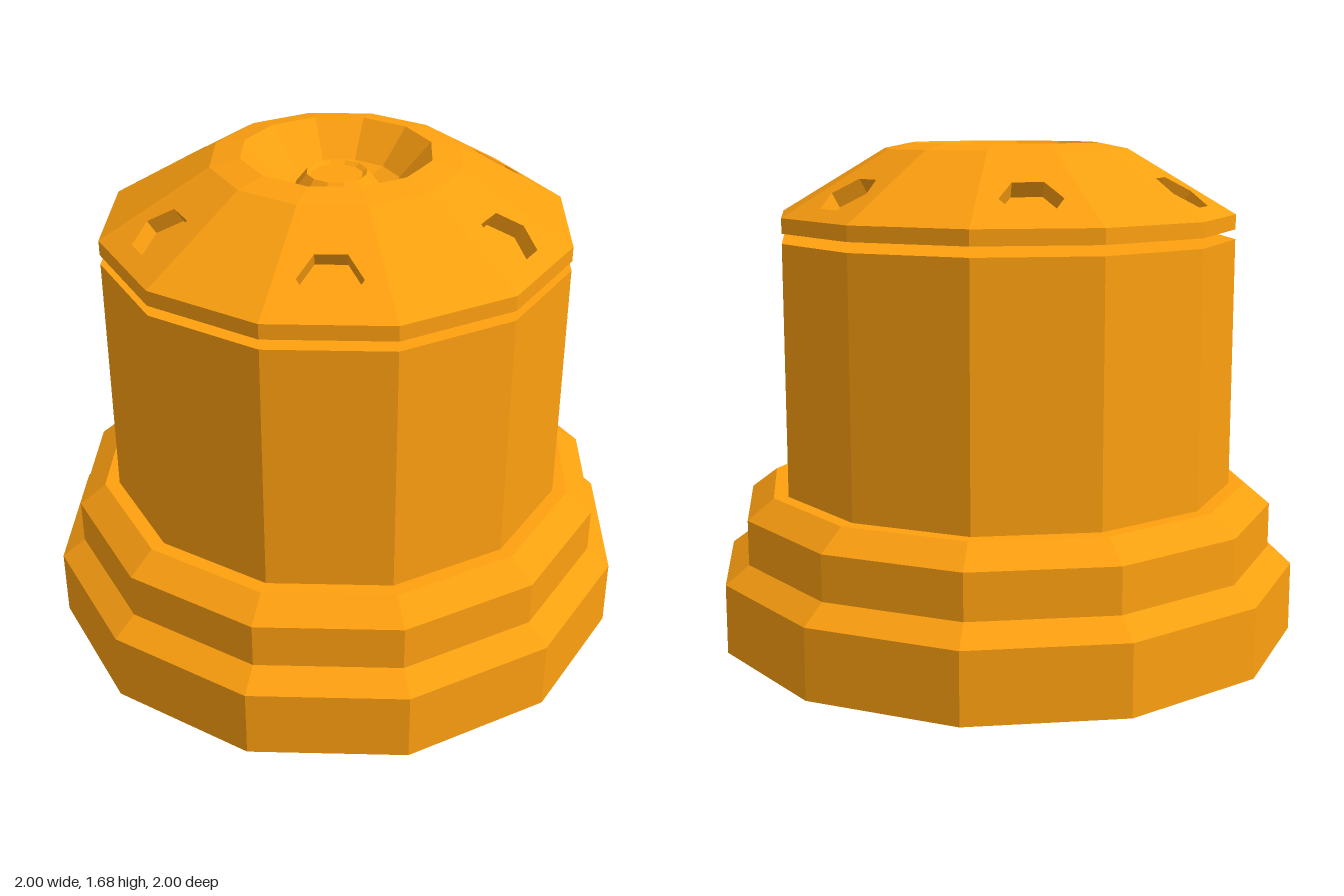
import * as THREE from 'three';

const SIDES = 12;
const material = new THREE.MeshStandardMaterial({ color: 0xffa010, flatShading: true });
const inside = material.clone();
inside.side = THREE.BackSide;

function add(parent, name, geometry, mat = material) {
  const mesh = new THREE.Mesh(geometry, mat);
  mesh.name = name;
  parent.add(mesh);
  return mesh;
}

// Faceted turned part; the profile lists [radius, height] from bottom to top
function turned(parent, name, profile) {
  const points = profile.map(([r, y]) => new THREE.Vector2(r, y));
  return add(parent, name, new THREE.LatheGeometry(points, SIDES));
}

export function createModel() {
  const model = new THREE.Group();
  model.name = 'cappedPost';

  // Stepped, bevelled foot
  turned(model, 'base', [
    [0, 0], [1, 0], [1, 0.235], [0.92, 0.295],
    [0.92, 0.447], [0.83, 0.515], [0, 0.515],
  ]);

  // Main drum and the narrow neck that carries the cap
  turned(model, 'body', [[0.78, 0.515], [0.78, 1.357], [0, 1.357]]);
  turned(model, 'neck', [[0.285, 1.357], [0.285, 1.39]]);

  const cap = new THREE.Group();
  cap.name = 'cap';
  model.add(cap);

  const rOut = 0.78, yOut = 1.44, rIn = 0.415, yIn = 1.657;
  turned(cap, 'capRim', [[0, 1.39], [rOut, 1.39], [rOut, yOut]]);

  // Crown lip, sunken bowl and dished centre button
  turned(cap, 'crownBowl', [
    [rIn, yIn], [0.315, 1.677], [0.21, 1.565], [0.14, 1.54],
    [0.14, 1.555], [0.1, 1.605], [0.085, 1.595], [0, 1.595],
  ]);

  // Sloping roof panels; every second one has a hexagonal pocket
  const half = Math.PI / SIDES;
  const run = (rOut - rIn) * Math.cos(half), rise = yIn - yOut;
  const length = Math.hypot(run, rise);
  const wOut = rOut * Math.sin(half), wIn = rIn * Math.sin(half);
  const holeR = 0.1, holeDepth = 0.055, holeY = length * 0.37;

  for (let i = 0; i < SIDES; i++) {
    const turn = new THREE.Group();
    turn.name = 'roofSection';
    turn.rotation.y = half * (2 * i + 1);
    cap.add(turn);

    const panel = new THREE.Group();
    panel.name = 'roofPanel';
    panel.position.set(0, yOut, rOut * Math.cos(half));
    panel.rotation.x = -Math.atan2(run, rise);
    turn.add(panel);

    const shape = new THREE.Shape([
      new THREE.Vector2(-wOut, 0), new THREE.Vector2(wOut, 0),
      new THREE.Vector2(wIn, length), new THREE.Vector2(-wIn, length),
    ]);
    if (i % 2 === 1) {
      const hex = [];
      for (let k = 0; k < 6; k++) {
        const a = -k * Math.PI / 3;
        hex.push(new THREE.Vector2(holeR * Math.cos(a), holeY + holeR * Math.sin(a)));
      }
      shape.holes.push(new THREE.Path(hex));

      const wall = new THREE.CylinderGeometry(holeR, holeR, holeDepth, 6, 1, true, Math.PI / 2);
      wall.rotateX(Math.PI / 2);
      add(panel, 'pocketWall', wall, inside).position.set(0, holeY, -holeDepth / 2);
      add(panel, 'pocketFloor', new THREE.CircleGeometry(holeR, 6)).position.set(0, holeY, -holeDepth);
    }
    add(panel, 'roofFace', new THREE.ShapeGeometry(shape));
  }
  return model;
}
